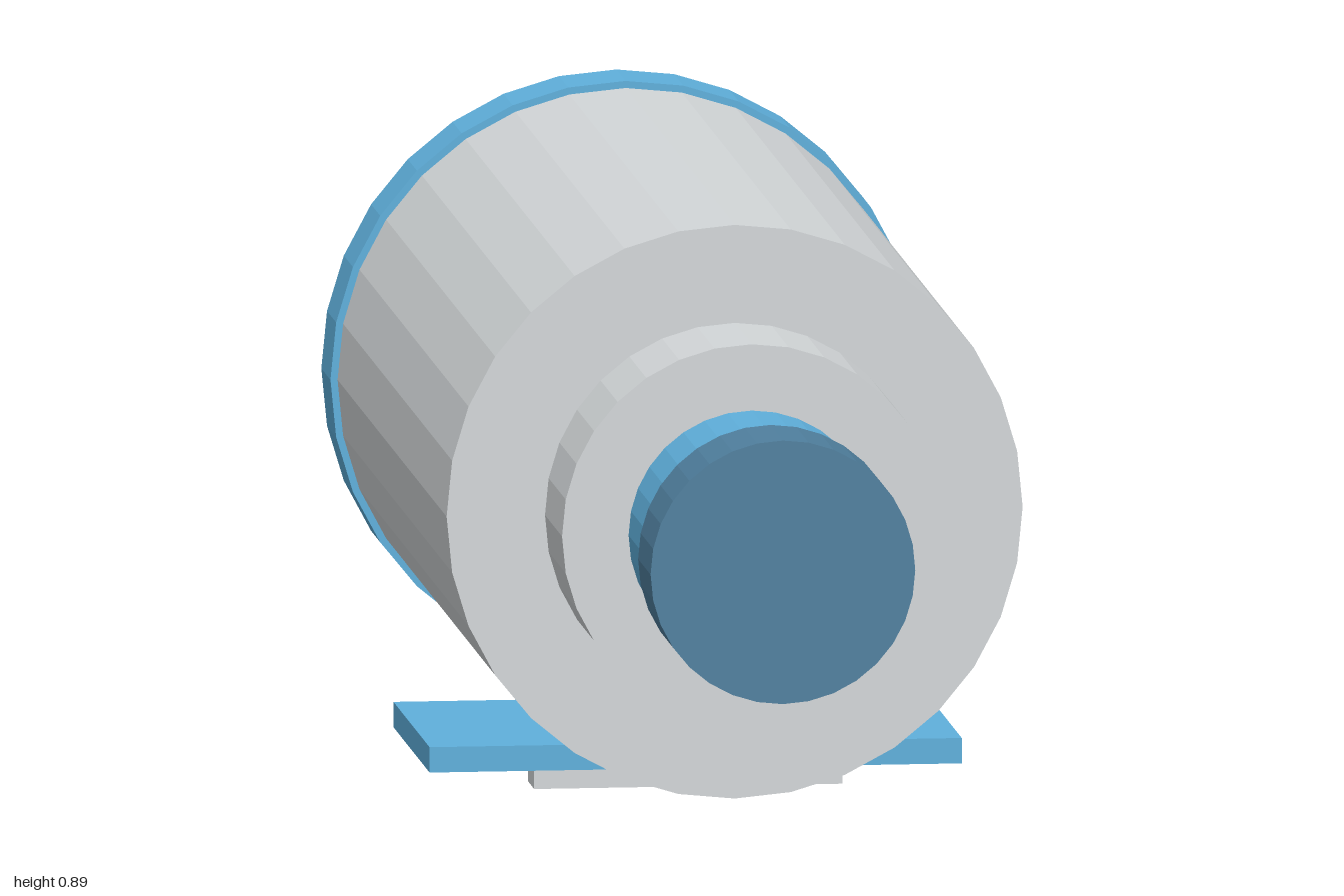
import * as THREE from 'three';

const material = (name, color) => {
  const m = new THREE.MeshStandardMaterial({ color });
  m.name = name;
  m.flatShading = true;
  return m;
};

export function createModel() {
  const grey = material('light grey', 0xd3d7d9);
  const blue = material('sky blue', 0x5fb0dc);
  const slate = material('slate blue', 0x50809f);
  const group = new THREE.Group();
  const axisY = 0.472;

  // Faceted drum lying along z
  function drum(name, radius, zBack, zFront, mat) {
    const geo = new THREE.CylinderGeometry(radius, radius, zFront - zBack, 32);
    geo.rotateX(Math.PI / 2);
    const mesh = new THREE.Mesh(geo, mat);
    mesh.name = name;
    mesh.position.set(0, axisY, (zBack + zFront) / 2);
    group.add(mesh);
  }

  // Flat block centred on x
  function block(name, width, yLow, yHigh, zBack, zFront, mat) {
    const mesh = new THREE.Mesh(new THREE.BoxGeometry(width, yHigh - yLow, zFront - zBack), mat);
    mesh.name = name;
    mesh.position.set(0, (yLow + yHigh) / 2, (zBack + zFront) / 2);
    group.add(mesh);
  }

  // Barrel, from rear to front
  drum('rearCap', 0.417, -1, -0.89, blue);
  drum('body', 0.407, -0.89, 0.42, grey);
  drum('collar', 0.268, 0.42, 0.625, grey);
  drum('neck', 0.174, 0.625, 0.85, blue);
  drum('frontCap', 0.187, 0.85, 1, slate);

  // Mounting plate and foot bar
  block('mountingPlate', 0.752, 0.039, 0.075, -0.482, -0.048, blue);
  block('footBar', 0.436, 0, 0.039, -0.21, -0.135, grey);

  return group;
}
